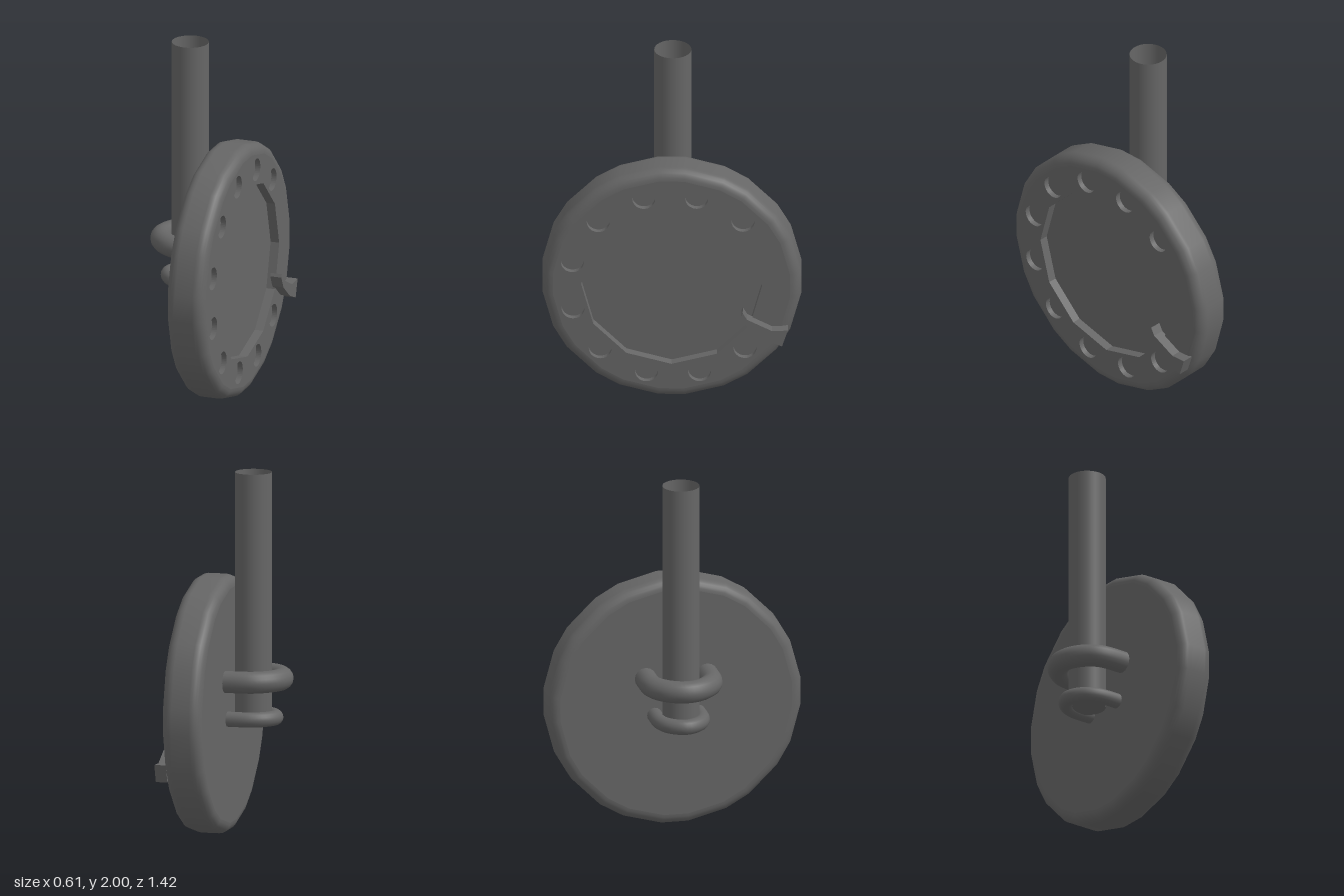
import * as THREE from 'three';

const material = new THREE.MeshStandardMaterial({ color: 0x666666 });
const openMaterial = new THREE.MeshStandardMaterial({ color: 0x666666, side: THREE.DoubleSide });
const rad = THREE.MathUtils.degToRad;

function add(parent, name, geometry, mat = material) {
  const mesh = new THREE.Mesh(geometry, mat);
  mesh.name = name;
  parent.add(mesh);
  return mesh;
}

const polar = (r, deg) => new THREE.Vector2(r * Math.cos(rad(deg)), r * Math.sin(rad(deg)));

// 24-sided outline whose corners come in pairs, 6 degrees either side of each 30
function outline(r) {
  const points = [];
  for (let a = 0; a < 360; a += 30) points.push(polar(r, a - 6), polar(r, a + 6));
  return points;
}

function createDial() {
  const dial = new THREE.Group();
  dial.name = 'dial';
  const radius = 0.712, bevel = 0.06, back = 0.03, front = 0.25, depth = 0.05;
  const centreY = radius * Math.cos(rad(6));

  // Rounded rim, turned from a profile; odd columns shift to match the outline
  const profile = [];
  const corner = (z, from) => {
    for (let i = 0; i <= 6; i++) {
      const p = polar(bevel, from + i * 15);
      profile.push(new THREE.Vector2(radius - bevel + p.x, z + p.y));
    }
  };
  corner(back + bevel, -90);
  corner(front - bevel, 0);
  const rim = new THREE.LatheGeometry(profile, 24, rad(-6));
  const pos = rim.attributes.position, v = new THREE.Vector3();
  const up = new THREE.Vector3(0, 1, 0);
  for (let i = 0; i < pos.count; i++) {
    if (Math.floor(i / profile.length) % 2 === 0) continue;
    v.fromBufferAttribute(pos, i).applyAxisAngle(up, rad(-3));
    pos.setXYZ(i, v.x, v.y, v.z);
  }
  add(dial, 'rim', rim.rotateX(Math.PI / 2));

  // Back cover and sunken floor
  const disc = () => new THREE.ShapeGeometry(new THREE.Shape(outline(radius - bevel)));
  add(dial, 'backCover', disc().rotateY(Math.PI)).position.z = back;
  add(dial, 'recessFloor', disc()).position.z = front - depth;

  // Face ring with a twelve-sided opening and ten shallow finger holes
  const face = new THREE.Shape(outline(radius - bevel));
  const opening = [];
  for (let i = 0; i < 12; i++) opening.push(polar(0.495, -i * 30));
  face.holes.push(new THREE.Path(opening));
  for (let i = 0; i < 10; i++) {
    const c = polar(0.56, 45.8 + i * 30);
    face.holes.push(new THREE.Path().absarc(c.x, c.y, 0.063, 0, Math.PI * 2, true));
    add(dial, 'holeFloor', new THREE.CircleGeometry(0.064, 40)).position.set(c.x, c.y, front - 0.03);
  }
  const ring = new THREE.ExtrudeGeometry(face, { depth, bevelEnabled: false, curveSegments: 20 });
  add(dial, 'faceRing', ring).position.z = front - depth;

  // Hooked finger stop
  const stop = new THREE.Shape([
    [0.39, 0.567], [0.382, 0.55], [0.414, 0.483], [0.51, 0.403],
    [0.605, 0.36], [0.637, 0.46], [0.55, 0.456], [0.414, 0.525],
  ].map(([x, y]) => new THREE.Vector2(x, y - centreY)));
  const hook = new THREE.ExtrudeGeometry(stop, { depth: 0.065, bevelEnabled: false });
  add(dial, 'fingerStop', hook).position.z = 0.24;

  dial.position.y = centreY;
  dial.rotation.y = Math.PI / 2;
  return dial;
}

// U-shaped bracket around the pole, from half of its path, mirrored in z
function addBracket(parent, name, y, tubeRadius, half, tip) {
  const side = (s) => half.map(([x, z]) => new THREE.Vector3(x, y, s * z));
  const path = new THREE.CatmullRomCurve3(
    [...side(1), new THREE.Vector3(tip, y, 0), ...side(-1).reverse()], false, 'centripetal');
  add(parent, name, new THREE.TubeGeometry(path, 40, tubeRadius, 16));
}

export function createModel() {
  const model = new THREE.Group();
  model.name = 'dialOnPole';
  model.add(createDial());

  // Pole, open at the top and closed at the bottom
  const pole = new THREE.Group();
  pole.name = 'pole';
  pole.position.x = -0.084;
  add(pole, 'poleTube', new THREE.CylinderGeometry(0.102, 0.102, 1.38, 32, 1, true), openMaterial).position.y = 1.31;
  add(pole, 'poleBottom', new THREE.CircleGeometry(0.102, 32).rotateX(Math.PI / 2), openMaterial).position.y = 0.62;
  model.add(pole);

  addBracket(model, 'upperBracket', 0.858, 0.061,
    [[0.06, 0.173], [-0.12, 0.163], [-0.195, 0.112], [-0.234, 0.05]], -0.244);
  addBracket(model, 'lowerBracket', 0.643, 0.042,
    [[0.06, 0.122], [-0.1, 0.116], [-0.17, 0.077]], -0.208);
  return model;
}
